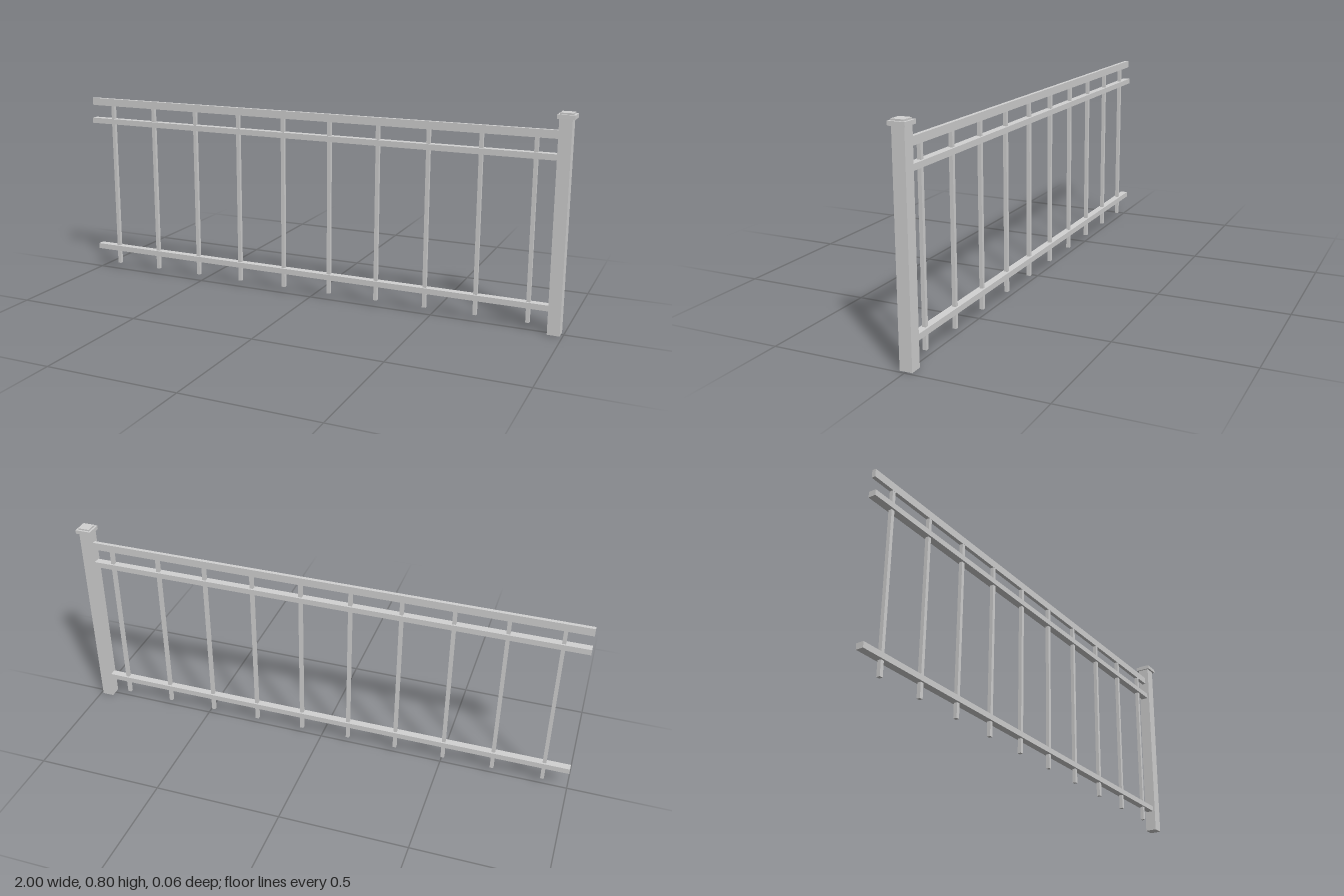
import * as THREE from 'three';

export function createModel() {
  const model = new THREE.Group();
  model.name = 'railing';
  const metal = new THREE.MeshStandardMaterial({ color: 0xd2d2d2 });
  metal.name = 'light grey metal';

  // Box given by its x and y extents and its depth, centred on z = 0
  const bar = (name, x0, x1, y0, y1, depth) => {
    const mesh = new THREE.Mesh(new THREE.BoxGeometry(x1 - x0, y1 - y0, depth), metal);
    mesh.name = name;
    mesh.position.set((x0 + x1) / 2, (y0 + y1) / 2, 0);
    model.add(mesh);
  };

  // End post with its stepped cap
  bar('post', 0.944, 0.99, 0, 0.783, 0.046);
  bar('postCap', 0.938, 1, 0.783, 0.798, 0.062);
  bar('postCapTop', 0.946, 0.992, 0.798, 0.804, 0.046);

  // Slim handrail above two deeper rails
  bar('topRail', -1, 0.944, 0.71, 0.74, 0.015);
  bar('middleRail', -1, 0.944, 0.635, 0.657, 0.029);
  bar('bottomRail', -1, 0.944, 0.085, 0.107, 0.029);

  // Evenly spaced pickets
  for (let i = 0; i < 10; i++) {
    const x = -0.902 + i * 0.1967;
    bar('picket' + (i + 1), x - 0.007, x + 0.007, 0.028, 0.71, 0.014);
  }
  return model;
}
